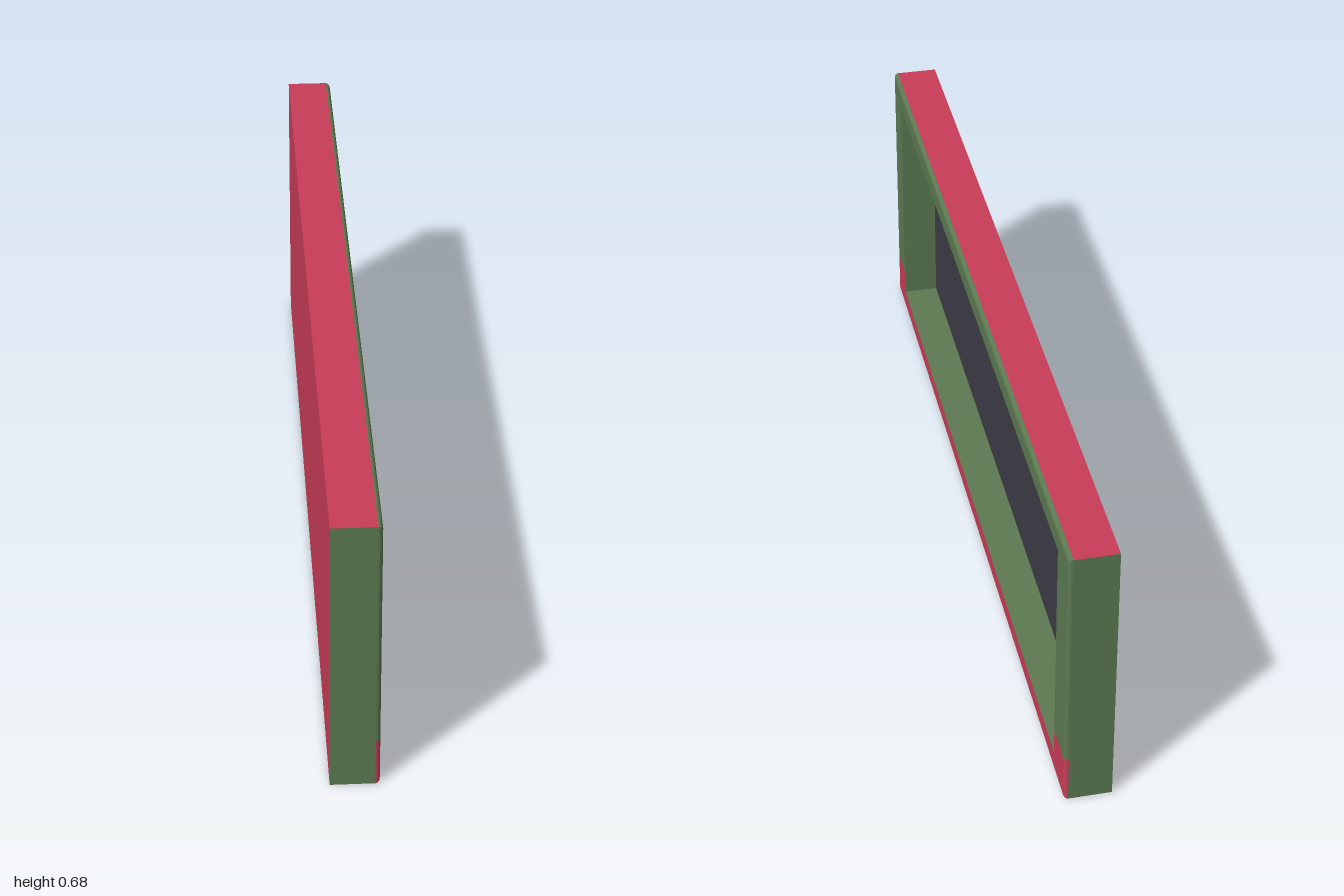
import * as THREE from 'three';

const H = 0.675;          // panel height
const SPLIT = 0.115;      // height of the red lower trim
const BACK = -0.055, FRONT = 0.053, FLOOR = -0.032;
const R = 0.01;           // edge rounding radius

const mat = (name, color) => {
  const m = new THREE.MeshStandardMaterial({ color });
  m.name = name;
  return m;
};

// Six points of an upright rectangle at depth x, counter-clockwise seen from +x
const ring = (x, y0, y1, z) => [
  [x, y0, z], [x, y0, -z], [x, SPLIT, -z], [x, y1, -z], [x, y1, z], [x, SPLIT, z],
];

// Mesh from flat four-cornered faces; slots gives each face a material index
function faces(name, quads, slots, materials) {
  const pos = [];
  const geo = new THREE.BufferGeometry();
  quads.forEach(([a, b, c, d], i) => {
    geo.addGroup(i * 6, 6, slots[i]);
    pos.push(...a, ...b, ...c, ...a, ...c, ...d);
  });
  geo.setAttribute('position', new THREE.Float32BufferAttribute(pos, 3));
  geo.computeVertexNormals();
  const mesh = new THREE.Mesh(geo, materials);
  mesh.name = name;
  return mesh;
}

// Six faces joining one ring to the next
const join = (r, s) => r.map((p, i) => {
  const j = (i + 1) % 6;
  return [p, r[j], s[j], s[i]];
});

export function createModel() {
  const green = mat('green frame', 0x5c7a51);
  const red = mat('red trim', 0xc83c58);
  const dark = mat('dark screen', 0x3d3c46);
  const teal = mat('teal patch', 0x90b3b2);
  const paint = [green, red];
  const group = new THREE.Group();
  group.name = 'framedPanel';

  // Outer casing: green ends, red top and bottom
  const back = ring(BACK, 0, H, 1);
  const shoulder = ring(FRONT - R, 0, H, 1);
  group.add(faces('casing', join(back, shoulder), [1, 0, 0, 1, 0, 0], paint));
  group.add(faces('backPanel', [[back[4], back[3], back[1], back[0]]], [1], paint));

  // Rounded edge around the face, red below the split
  const lower = [1, 1, 0, 0, 0, 1];
  let prev = shoulder;
  for (let i = 1; i <= 4; i++) {
    const t = (i / 4) * Math.PI / 2;
    const inset = R * (1 - Math.cos(t));
    const next = ring(FRONT - R + R * Math.sin(t), inset, H - inset, 1 - inset);
    group.add(faces('roundedEdge' + i, join(prev, next), lower, paint));
    prev = next;
  }

  // Face of the frame and the walls of its recess
  const opening = ring(FRONT, 0.05, 0.625, 0.905);
  const floor = ring(FLOOR, 0.05, 0.625, 0.905);
  group.add(faces('frameFace', join(prev, opening), lower, paint));
  group.add(faces('recessWalls', join(opening, floor), [0, 0, 0, 0, 0, 0], paint));

  // Screen at the bottom of the recess
  group.add(faces('screen', [[floor[0], floor[1], floor[3], floor[4]]], [0], [dark]));

  // Thin patch in the upper corner of the screen
  const patch = new THREE.Mesh(new THREE.BoxGeometry(0.003, 0.175, 0.335), teal);
  patch.name = 'cornerPatch';
  patch.position.set(FLOOR + 0.0015, 0.5375, -0.7375);
  group.add(patch);

  return group;
}
